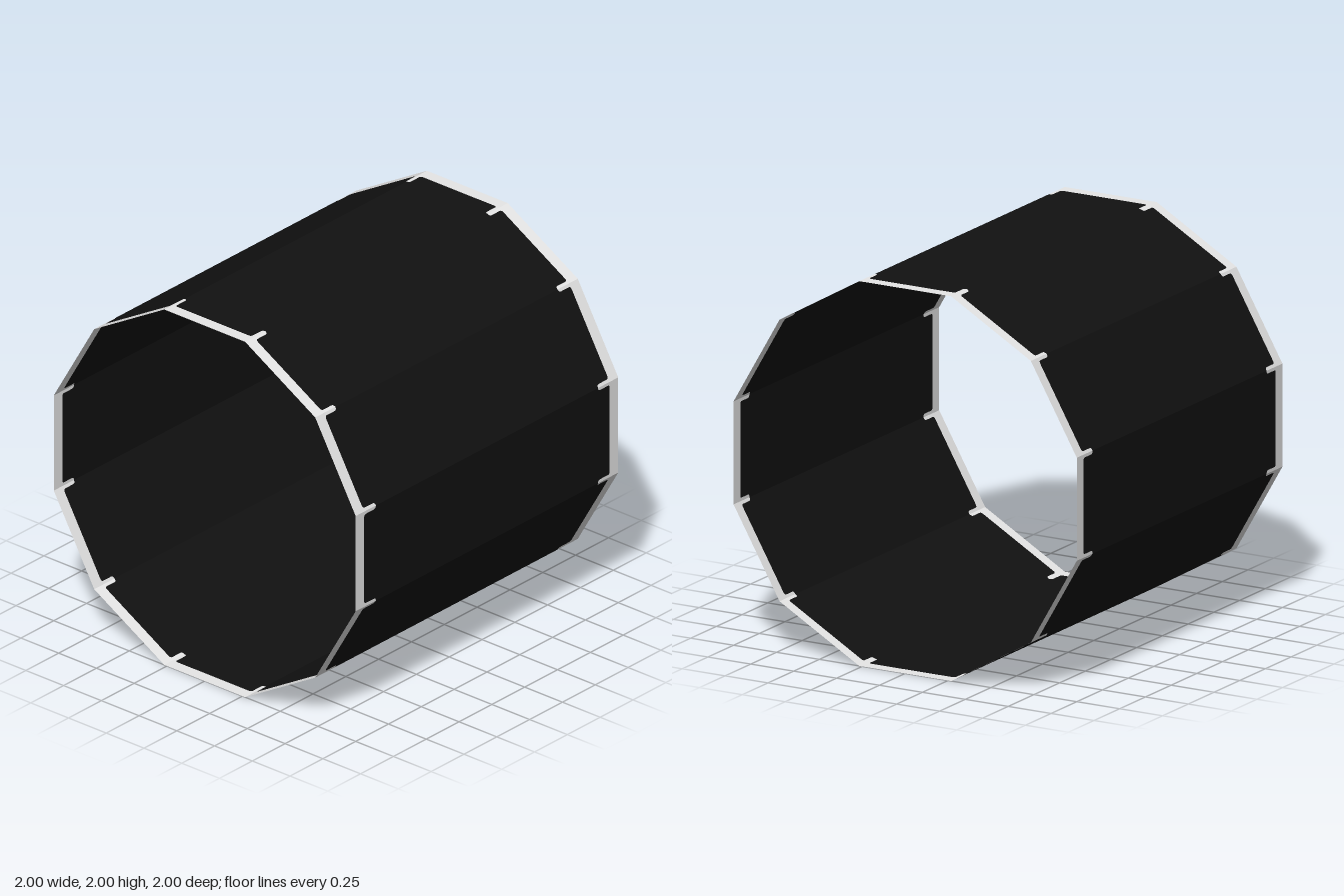
import * as THREE from 'three';

const SIDES = 12;
const APOTHEM = 1;
const HALF = APOTHEM * Math.tan(Math.PI / SIDES); // half width of one flat side
const RIM = 0.935;    // inner edge of the pale rim
const TAB = 0.846;    // tip of the pale tabs on the ridges
const TAB_HALF = 0.017;
const ROUND = 0.015;

// Border between dark panel and pale rim, running up one end of a side
function borderPoints() {
  const a = -HALF + TAB_HALF;
  const p = new THREE.Path();
  p.moveTo(TAB, -HALF);
  p.quadraticCurveTo(TAB, a, TAB + TAB_HALF, a);
  p.lineTo(RIM - ROUND, a);
  p.quadraticCurveTo(RIM, a, RIM, a + ROUND);
  p.lineTo(RIM, -a - ROUND);
  p.quadraticCurveTo(RIM, -a, RIM - ROUND, -a);
  p.lineTo(TAB + TAB_HALF, -a);
  p.quadraticCurveTo(TAB, -a, TAB, HALF);
  return p.getPoints(5);
}

export function createModel() {
  const dark = new THREE.MeshStandardMaterial({ color: 0x111111, side: THREE.DoubleSide });
  dark.name = 'black';
  const pale = new THREE.MeshStandardMaterial({ color: 0xf4f4f4, side: THREE.DoubleSide });
  pale.name = 'white';

  const border = borderPoints();
  const opposite = border.map((p) => p.clone().negate());
  const corners = [new THREE.Vector2(1, HALF), new THREE.Vector2(1, -HALF)];

  // Flat cut-outs, pushed out to the face of the drum
  const flat = (points) => new THREE.ShapeGeometry(new THREE.Shape(points)).translate(0, 0, APOTHEM);
  const panelGeometry = flat([...border, ...opposite]);
  const rimGeometry = flat([...border, ...corners]);
  const otherRimGeometry = rimGeometry.clone().rotateZ(Math.PI);

  const drum = new THREE.Group();
  drum.name = 'openDrum';
  for (let i = 0; i < SIDES; i++) {
    const side = new THREE.Group();
    side.name = `side${i + 1}`;
    const parts = [
      ['panel', panelGeometry, dark],
      ['leftRim', rimGeometry, pale],
      ['rightRim', otherRimGeometry, pale],
    ];
    for (const [name, geometry, material] of parts) {
      const mesh = new THREE.Mesh(geometry, material);
      mesh.name = name;
      side.add(mesh);
    }
    side.rotation.x = (i / SIDES) * Math.PI * 2;
    drum.add(side);
  }
  drum.position.y = APOTHEM;

  const model = new THREE.Group();
  model.name = 'model';
  model.add(drum);
  return model;
}
